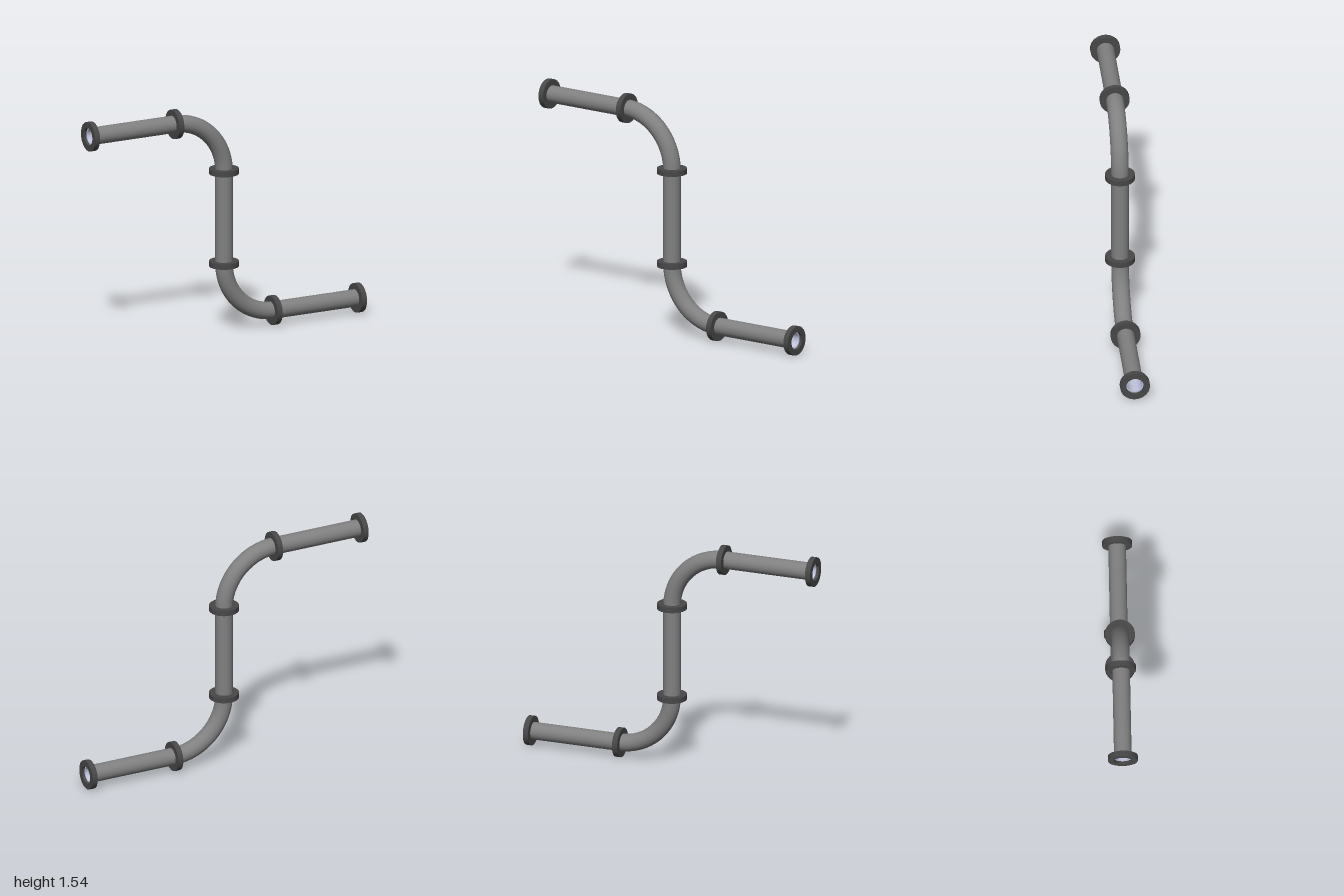
import * as THREE from 'three';
import { toCreasedNormals } from 'three/addons/utils/BufferGeometryUtils.js';

const SIDES = 40;
const OUTER = 0.057, INNER = 0.048;          // pipe wall radii
const FLANGE = 0.0965, THICK = 0.036;        // flange radius and thickness
const BEND = 0.3615, STRAIGHT = 0.62;        // bend radius and straight length
const LOW = FLANGE, HIGH = LOW + 2 * BEND + STRAIGHT;
const END = BEND + STRAIGHT;

const pipeMat = new THREE.MeshStandardMaterial({ color: 0x808080 });
const flangeMat = new THREE.MeshStandardMaterial({ color: 0x484848 });
const boreMat = new THREE.MeshStandardMaterial({ color: 0xc0c4dc, side: THREE.BackSide });
const rimMat = new THREE.MeshStandardMaterial({ color: 0xc0c4dc, side: THREE.DoubleSide });

function add(parent, name, geometry, material, x, y, rotZ = 0) {
  const mesh = new THREE.Mesh(geometry, material);
  mesh.name = name;
  mesh.position.set(x, y, 0);
  mesh.rotation.z = rotZ;
  parent.add(mesh);
  return mesh;
}

// Square-edged ring around the y axis
function flangeGeometry() {
  const h = THICK / 2;
  const profile = [[OUTER, -h], [FLANGE, -h], [FLANGE, h], [OUTER, h], [OUTER, -h]]
    .map(([x, y]) => new THREE.Vector2(x, y));
  return toCreasedNormals(new THREE.LatheGeometry(profile, SIDES), Math.PI / 5);
}

export function createModel() {
  const model = new THREE.Group();
  model.name = 'pipeRun';
  const quarter = Math.PI / 2;

  // Outer wall and bore of each straight and each bend
  for (const [label, radius, mat] of [['Pipe', OUTER, pipeMat], ['Bore', INNER, boreMat]]) {
    const straight = new THREE.CylinderGeometry(radius, radius, STRAIGHT, SIDES, 1, true);
    const bend = new THREE.TorusGeometry(BEND, radius, SIDES, 28, quarter);
    const mid = BEND + STRAIGHT / 2;
    add(model, 'lower' + label, straight, mat, mid, LOW, quarter);
    add(model, 'upper' + label, straight, mat, -mid, HIGH, quarter);
    add(model, 'vertical' + label, straight, mat, 0, (LOW + HIGH) / 2);
    add(model, 'lowerBend' + label, bend, mat, BEND, LOW + BEND, Math.PI);
    add(model, 'upperBend' + label, bend, mat, -BEND, HIGH - BEND);
  }

  // Flanges at every joint and at both open ends
  const flange = flangeGeometry();
  for (const [name, x, y, turn] of [
    ['lowerEndFlange', END, LOW, quarter],
    ['lowerBendFlange', BEND, LOW, quarter],
    ['verticalBottomFlange', 0, LOW + BEND, 0],
    ['verticalTopFlange', 0, HIGH - BEND, 0],
    ['upperBendFlange', -BEND, HIGH, quarter],
    ['upperEndFlange', -END, HIGH, quarter],
  ]) add(model, name, flange, flangeMat, x, y, turn);

  // Wall thickness visible at the open ends
  const rim = new THREE.RingGeometry(INNER, OUTER, SIDES);
  for (const [name, x, y, s] of [['lowerRim', END, LOW, 1], ['upperRim', -END, HIGH, -1]])
    add(model, name, rim, rimMat, x, y).rotation.y = s * quarter;

  return model;
}
